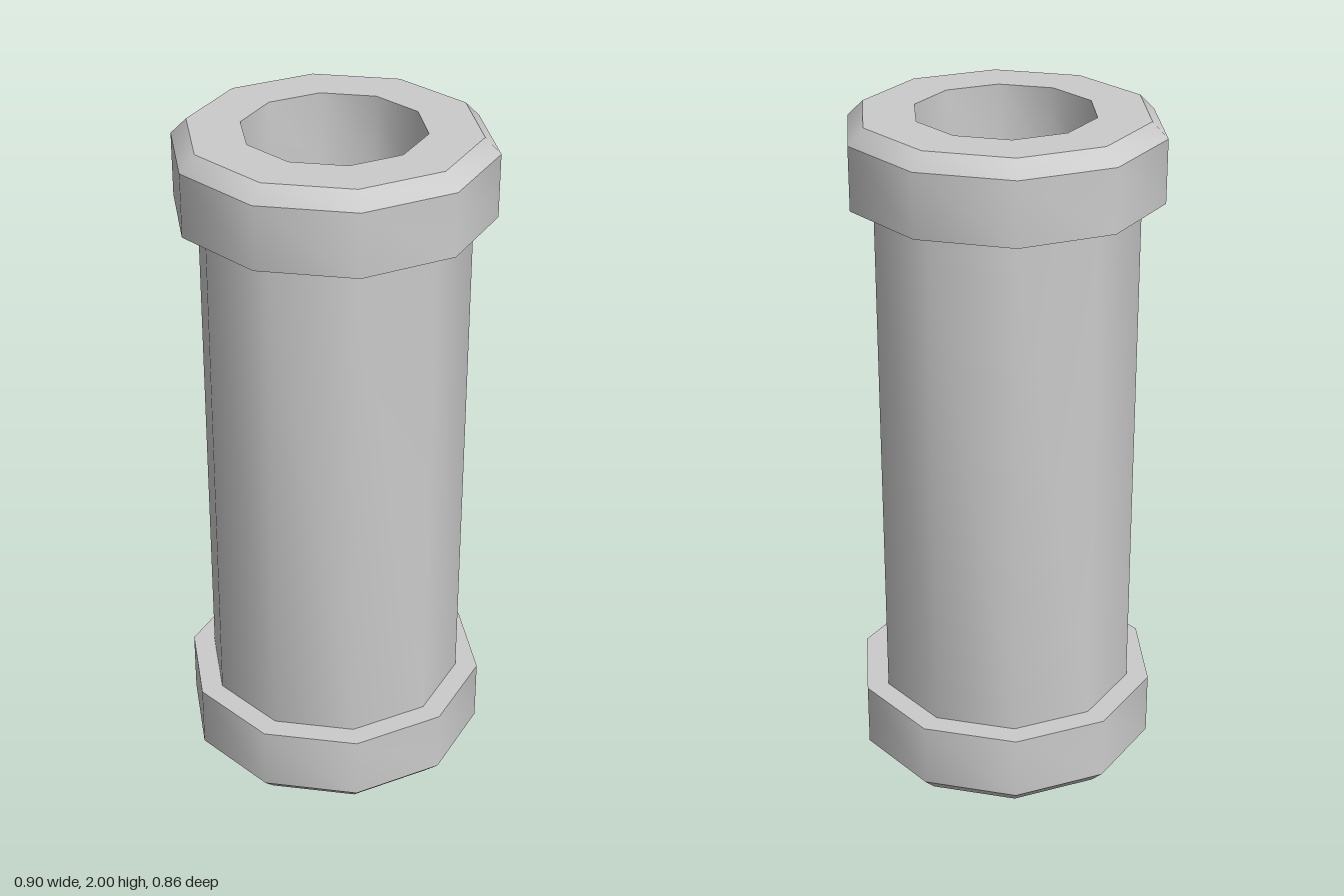
import * as THREE from 'three';
import { toCreasedNormals } from 'three/addons/utils/BufferGeometryUtils.js';

const SIDES = 10;
const BORE = 0.257, BODY = 0.385, COLLAR = 0.452, CHAMFER = 0.045;
const LOW = 0.237, HIGH = 1.772; // where the body meets the collars

const material = new THREE.MeshStandardMaterial({ color: 0xcccccc });

// Ten-sided lathe: smooth around, sharp along the profile
function turned(name, profile) {
  const points = profile.map(([r, y]) => new THREE.Vector2(r, y));
  const lathe = new THREE.LatheGeometry(points, SIDES, Math.PI / 2);
  const mesh = new THREE.Mesh(toCreasedNormals(lathe, THREE.MathUtils.degToRad(40)), material);
  mesh.name = name;
  return mesh;
}

// Chamfered collar profile, from the bore round the end face to the body
function collarProfile(height) {
  return [
    [BORE, height],
    [BORE, 0],
    [COLLAR - CHAMFER, 0],
    [COLLAR, CHAMFER],
    [COLLAR, height],
    [BODY, height],
  ];
}

export function createModel() {
  const group = new THREE.Group();
  group.name = 'collaredTube';

  // Tube between the collars: outer wall and through bore
  group.add(turned('tubeWall', [[BODY, LOW], [BODY, HIGH]]));
  group.add(turned('tubeBore', [[BORE, HIGH], [BORE, LOW]]));

  // End collars; the upper one is the lower profile mirrored
  group.add(turned('bottomCollar', collarProfile(LOW)));
  const upper = collarProfile(2 - HIGH).map(([r, y]) => [r, 2 - y]).reverse();
  group.add(turned('topCollar', upper));

  return group;
}
